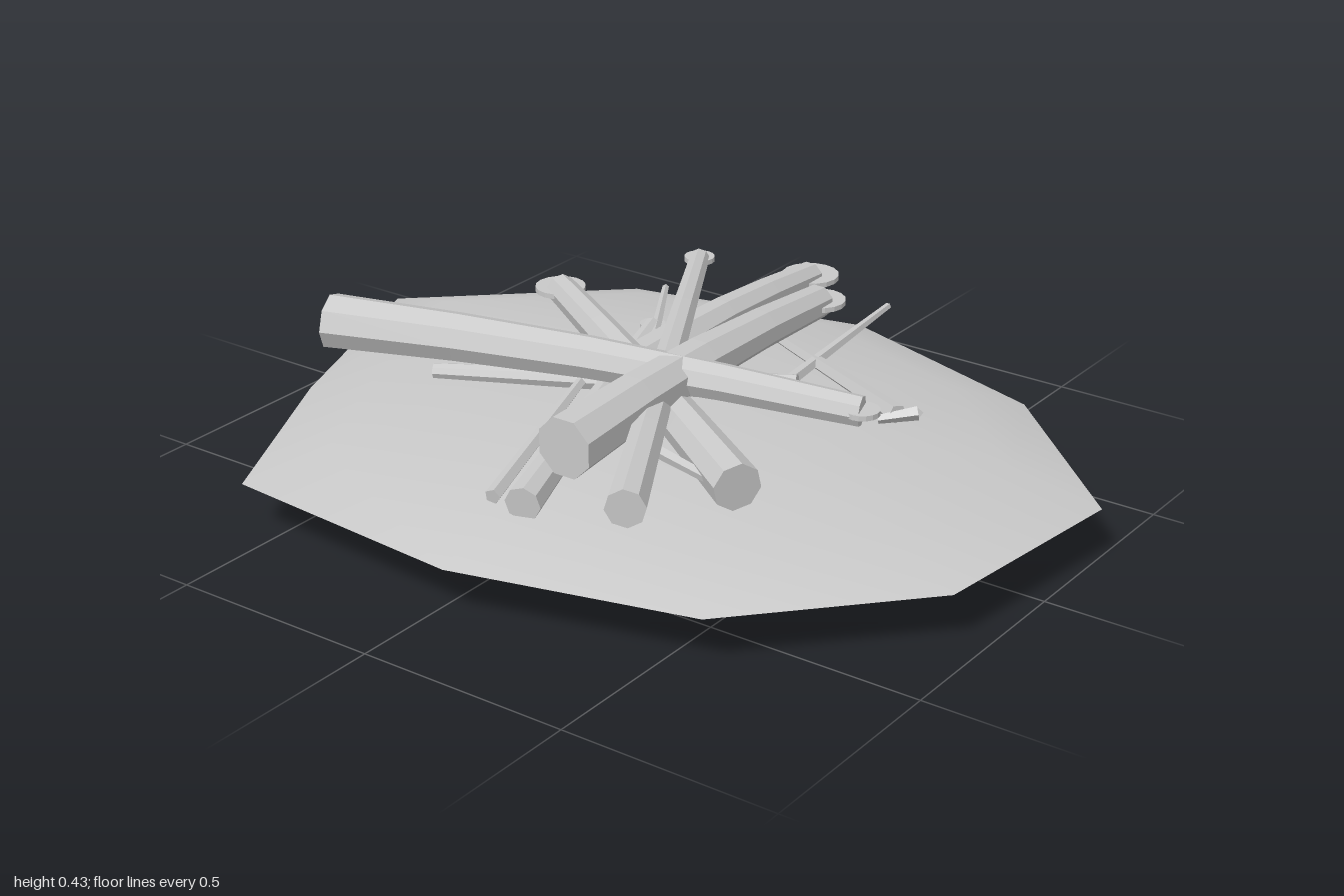
import * as THREE from 'three';

const ash = new THREE.MeshStandardMaterial({ color: 0xc8c8c8 });
ash.name = 'pale grey';
const wood = new THREE.MeshStandardMaterial({ color: 0xc8c8c8, flatShading: true });
wood.name = 'grey wood';

// Uneven outline of the mound, seen from above (x, z)
const outline = [
  [0.04, -0.8], [0.6, -0.62], [1, -0.24], [0.94, 0.28], [0.59, 0.66],
  [0.04, 0.8], [-0.57, 0.75], [-0.8, 0.28], [-1, -0.26], [-0.55, -0.67],
];

// One half of the lens-shaped mound: rings of the outline shrinking to a pole
function shell(name, rings, poleY, up) {
  const pos = [], idx = [], n = outline.length;
  for (const [s, y] of rings) for (const [x, z] of outline) pos.push(x * s, y, z * s);
  pos.push(0, poleY, 0);
  const tri = (a, b, c) => (up ? idx.push(a, c, b) : idx.push(a, b, c));
  rings.forEach((_, r) => {
    for (let i = 0; i < n; i++) {
      const j = (i + 1) % n, a = r * n + i, b = r * n + j;
      if (r === rings.length - 1) tri(a, b, rings.length * n);
      else {
        tri(a, b, b + n);
        tri(a, b + n, a + n);
      }
    }
  });
  const g = new THREE.BufferGeometry();
  g.setAttribute('position', new THREE.Float32BufferAttribute(pos, 3));
  g.setIndex(idx);
  g.computeVertexNormals();
  const mesh = new THREE.Mesh(g, ash);
  mesh.name = name;
  return mesh;
}

// Tapered, slightly bowed log from a to b, with an optional flat disc at b
function log(name, a, b, ra, rb, { bow = 0, disc = 0, sides = 8 } = {}) {
  const group = new THREE.Group();
  group.name = name;
  const start = new THREE.Vector3(...a), end = new THREE.Vector3(...b);
  const dir = end.clone().sub(start), len = dir.length();
  const g = new THREE.CylinderGeometry(rb, ra, len, sides, 4);
  g.rotateY(Math.PI / sides);
  const p = g.attributes.position;
  const lift = [];
  for (let i = 0; i < p.count; i++) lift.push(bow * Math.cos((p.getY(i) / len) * Math.PI));
  g.applyQuaternion(new THREE.Quaternion().setFromUnitVectors(new THREE.Vector3(0, 1, 0), dir.normalize()));
  const mid = start.add(end).multiplyScalar(0.5);
  g.translate(mid.x, mid.y, mid.z);
  for (let i = 0; i < p.count; i++) p.setY(i, p.getY(i) + lift[i]);
  g.computeVertexNormals();
  const body = new THREE.Mesh(g, wood);
  body.name = name + 'Body';
  group.add(body);
  if (disc) {
    const d = new THREE.Mesh(new THREE.CylinderGeometry(disc, disc, 0.012, 16), wood);
    d.name = name + 'Disc';
    d.position.set(...b);
    group.add(d);
  }
  return group;
}

export function createModel() {
  const model = new THREE.Group();
  model.name = 'campfirePile';

  model.add(
    shell('moundTop', [[1, 0.12], [0.8, 0.178], [0.45, 0.214]], 0.235, true),
    shell('moundBottom', [[1, 0.12], [0.83, 0.062], [0.48, 0.016]], 0.002, false),
  );

  // Main logs, thick end first
  model.add(
    log('frontLog', [0.14, 0.315, 0.52], [0.14, 0.325, -0.45], 0.07, 0.04, { bow: 0.02, disc: 0.062 }),
    log('rightLog', [-0.63, 0.367, 0.38], [0.54, 0.315, 0], 0.064, 0.035, { bow: 0.018, disc: 0.04 }),
    log('backLog', [-0.07, 0.255, 0.03], [-0.065, 0.25, -0.73], 0.055, 0.036, { bow: 0.015, disc: 0.07 }),
    log('diagonalLog', [0.38, 0.29, 0.63], [-0.25, 0.32, -0.52], 0.044, 0.025, { bow: 0.01, disc: 0.037 }),
    log('leftLog', [0.46, 0.25, 0.35], [-0.42, 0.31, -0.19], 0.055, 0.035, { bow: 0.01, disc: 0.06 }),
    log('lowLog', [0.1, 0.21, 0.61], [-0.15, 0.28, -0.19], 0.04, 0.02, { disc: 0.03 }),
    log('crossLog', [0.31, 0.27, -0.1], [-0.45, 0.24, 0.24], 0.035, 0.018),
  );

  // Thin twigs
  const twigs = [
    [[0.28, 0.27, -0.05], [0.255, 0.3, -0.57], 0.016, 0.008],
    [[0.08, 0.27, 0.18], [-0.25, 0.29, -0.38], 0.018, 0.008],
    [[0.58, 0.29, -0.08], [0.05, 0.27, -0.35], 0.022, 0.012],
    [[0.1, 0.26, 0.02], [0.43, 0.28, -0.03], 0.012, 0.008],
    [[-0.1, 0.27, 0.15], [0.02, 0.205, 0.61], 0.012, 0.018],
    [[0.05, 0.26, 0.27], [0.39, 0.25, 0.35], 0.018, 0.012],
  ];
  twigs.forEach(([a, b, ra, rb], i) => model.add(log('twig' + (i + 1), a, b, ra, rb, { sides: 5 })));

  // Splinter at the left, bent back on itself
  model.add(
    log('splinterUpper', [0.62, 0.295, -0.1], [0.49, 0.26, -0.22], 0.012, 0.005, { sides: 4 }),
    log('splinterTip', [0.62, 0.295, -0.1], [0.55, 0.28, -0.05], 0.016, 0.01, { sides: 4 }),
  );
  return model;
}
